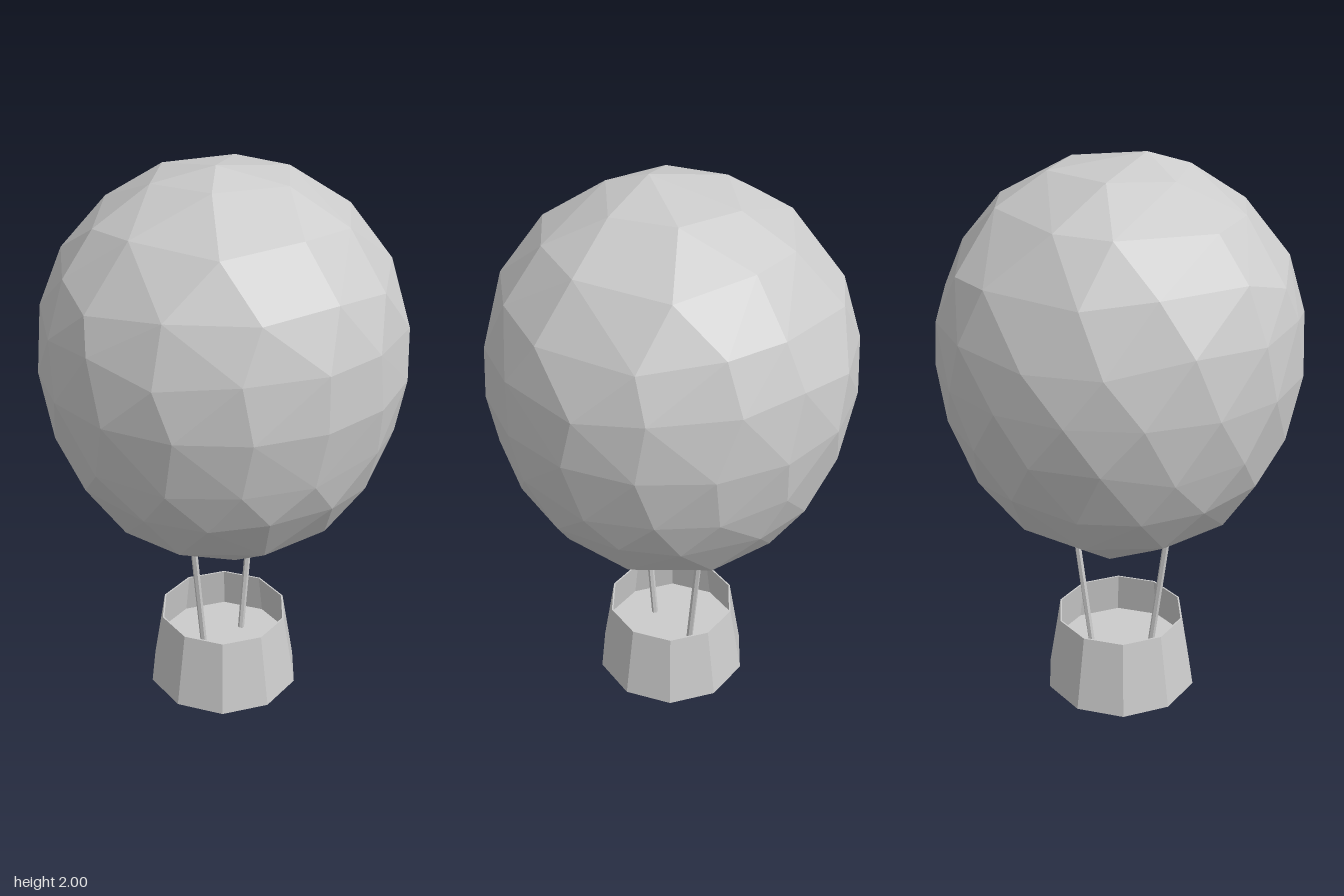
import * as THREE from 'three';
import { ConvexGeometry } from 'three/addons/geometries/ConvexGeometry.js';

const material = () => new THREE.MeshStandardMaterial({
  color: 0xcccccc, flatShading: true, side: THREE.DoubleSide,
});

function add(parent, geometry, name) {
  const mesh = new THREE.Mesh(geometry, material());
  mesh.name = name;
  parent.add(mesh);
  return mesh;
}

// Faceted envelope: rings of points along a profile, wrapped in a hull, open at the mouth
function envelopeGeometry() {
  let seed = 11;
  const jitter = (amount) => {
    seed = (seed * 16807) % 2147483647;
    return (seed / 2147483647 - 0.5) * 2 * amount;
  };
  // radius, height, points in the ring, irregularity
  const rings = [
    [0.14, 0.58, 5, 0],
    [0.43, 0.78, 10, 0.06],
    [0.54, 0.95, 15, 0.12],
    [0.597, 1.11, 15, 0.15],
    [0.627, 1.3, 16, 0],
    [0.616, 1.49, 15, 0.2],
    [0.56, 1.66, 13, 0.2],
    [0.43, 1.83, 10, 0.15],
    [0.24, 1.95, 6, 0.1],
  ];
  const profile = new THREE.SplineCurve(rings.map(([r, y]) => new THREE.Vector2(r, y)));
  const points = [new THREE.Vector3(0.03, 2, 0.08)];
  rings.forEach(([, , count, wobble], i) => {
    for (let k = 0; k < count; k++) {
      const p = profile.getPoint((i + jitter(wobble)) / (rings.length - 1));
      const a = Math.PI + ((k + (i % 2 && i > 1 ? 0.5 : 0) + jitter(wobble)) / count) * Math.PI * 2;
      points.push(new THREE.Vector3(p.x * Math.cos(a), p.y, p.x * Math.sin(a)));
    }
  });

  // Leave out the faces that would close the mouth
  const hull = new ConvexGeometry(points).getAttribute('position');
  const kept = [];
  for (let f = 0; f < hull.count; f += 3) {
    if (Math.max(hull.getY(f), hull.getY(f + 1), hull.getY(f + 2)) < 0.6) continue;
    for (let v = f; v < f + 3; v++) kept.push(hull.getX(v), hull.getY(v), hull.getZ(v));
  }
  const geometry = new THREE.BufferGeometry();
  geometry.setAttribute('position', new THREE.Float32BufferAttribute(kept, 3));
  geometry.computeVertexNormals();
  return geometry;
}

export function createModel() {
  const model = new THREE.Group();
  model.name = 'hotAirBalloon';

  add(model, envelopeGeometry(), 'envelope');

  // Ten-sided basket with thin walls and a raised floor
  const section = [[0, 0], [0.285, 0], [0.238, 0.283], [0.232, 0.283], [0.258, 0.12], [0, 0.12]];
  add(model, new THREE.LatheGeometry(section.map(([r, y]) => new THREE.Vector2(r, y)), 10), 'basket');

  // Two ropes leaning outward from the basket floor to the envelope
  for (const side of [1, -1]) {
    const foot = new THREE.Vector3(0, 0.12, side * 0.115);
    const head = new THREE.Vector3(0, 0.625, side * 0.176);
    const path = new THREE.LineCurve3(foot, head);
    const rope = add(model, new THREE.CylinderGeometry(0.012, 0.012, path.getLength(), 6), side > 0 ? 'frontRope' : 'backRope');
    rope.position.copy(path.getPoint(0.5));
    rope.quaternion.setFromUnitVectors(new THREE.Vector3(0, 1, 0), path.getTangent(0));
  }
  return model;
}
